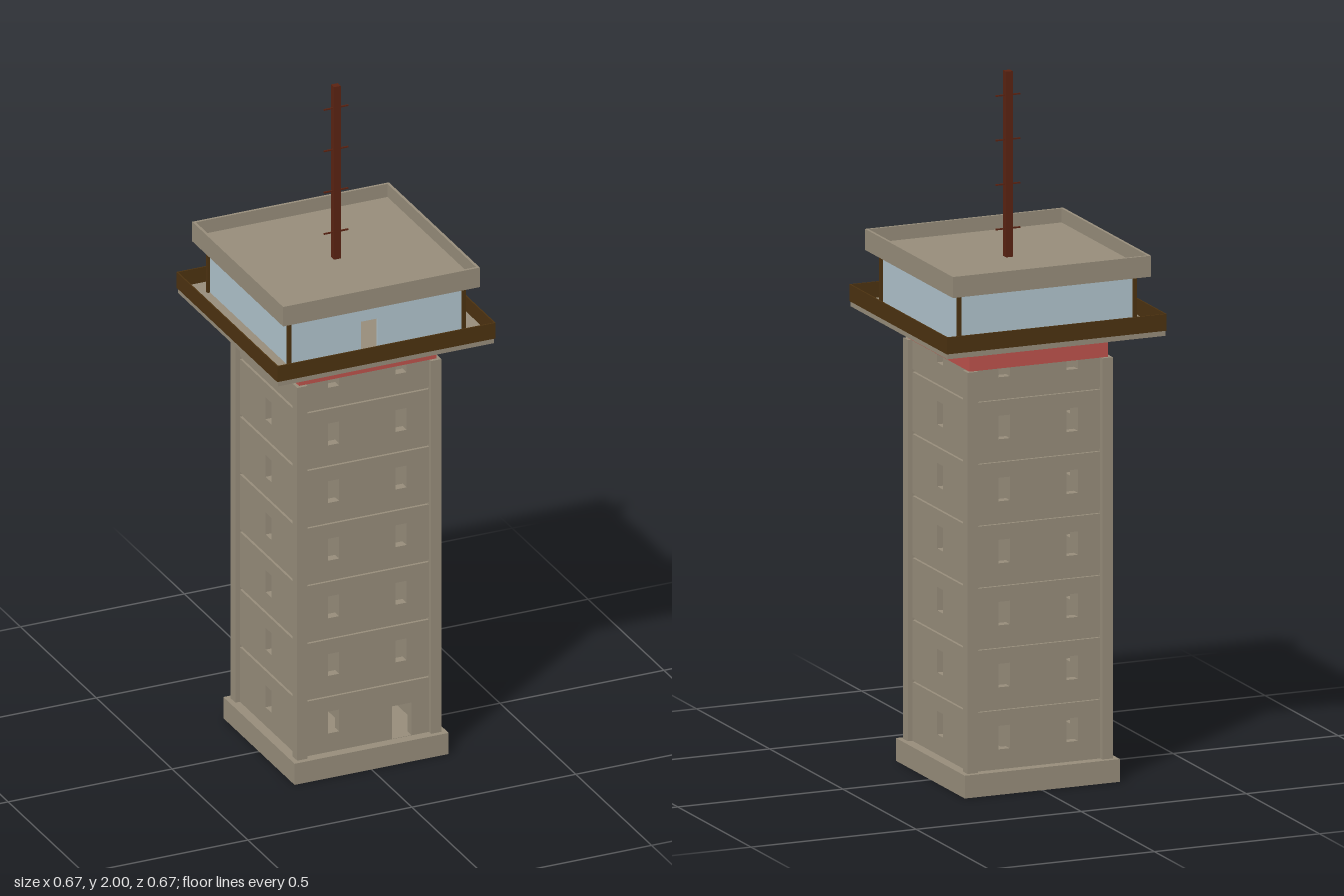
import * as THREE from 'three';

const mat = (name, color) => {
  const m = new THREE.MeshStandardMaterial({ color });
  m.name = name;
  return m;
};

export function createModel() {
  const root = new THREE.Group();
  root.name = 'controlTower';
  const concrete = mat('concrete', 0x968c7a);
  const glass = mat('paleGlass', 0xb0c3cc);
  const brown = mat('darkBrown', 0x4c3210);
  const red = mat('redBand', 0xbc524b);
  const rust = mat('rustMast', 0x5a2312);

  // Box given by its bounds
  const box = (name, m, x0, x1, y0, y1, z0, z1, parent = root) => {
    const mesh = new THREE.Mesh(new THREE.BoxGeometry(x1 - x0, y1 - y0, z1 - z0), m);
    mesh.position.set((x0 + x1) / 2, (y0 + y1) / 2, (z0 + z1) / 2);
    mesh.name = name;
    parent.add(mesh);
    return mesh;
  };
  const slab = (name, m, r, y0, y1) => box(name, m, -r, r, y0, y1, -r, r);

  // Upright plate with rectangular openings [x0, x1, y0, y1]
  const plate = (name, m, half, y0, y1, holes, z, depth, parent) => {
    const trace = (p, a, b, c, d) => p.moveTo(a, c).lineTo(b, c).lineTo(b, d).lineTo(a, d).closePath();
    const shape = trace(new THREE.Shape(), -half, half, y0, y1);
    for (const [a, b, c, d] of holes) {
      const lo = Math.max(c, y0 + 0.001), hi = Math.min(d, y1 - 0.001);
      if (hi > lo) shape.holes.push(trace(new THREE.Path(), a, b, lo, hi));
    }
    const mesh = new THREE.Mesh(new THREE.ExtrudeGeometry(shape, { depth, bevelEnabled: false }), m);
    mesh.position.z = z;
    mesh.name = name;
    parent.add(mesh);
  };

  // Square ring of four thin walls
  const ring = (name, m, r, t, y0, y1) => {
    const g = new THREE.Group();
    g.name = name;
    for (const s of [-1, 1]) {
      const a = s * r, b = s * (r - t);
      box(name + 'Long', m, -r, r, y0, y1, Math.min(a, b), Math.max(a, b), g);
      box(name + 'Short', m, Math.min(a, b), Math.max(a, b), y0, y1, -r + t, r - t, g);
    }
    root.add(g);
  };

  // Plinth and corner pillars
  const BASE = 0.065, TOP = 1.21, PITCH = 0.177;
  slab('plinth', concrete, 0.235, 0, BASE);
  for (const sx of [-1, 1]) for (const sz of [-1, 1]) {
    box('cornerPillar', concrete, sx * 0.204 - 0.016, sx * 0.204 + 0.016, BASE, TOP,
      sz * 0.204 - 0.016, sz * 0.204 + 0.016);
  }

  // Shaft walls: backing plate plus one raised panel per storey, leaving grooves
  const windowsAt = (xs, w) => {
    const list = [];
    for (let k = 0; k < 7; k++) {
      for (const x of xs) list.push([x - w / 2, x + w / 2, 0.122 + k * PITCH, 0.189 + k * PITCH]);
    }
    return list;
  };
  const wall = (name, angle, holes) => {
    const g = new THREE.Group();
    g.name = name;
    plate(name + 'Backing', concrete, 0.19, BASE, TOP, holes, 0.18, 0.018, g);
    for (let k = 0; k < 7; k++) {
      const y0 = k === 0 ? BASE : 0.06 + k * PITCH + 0.004;
      const y1 = k === 6 ? TOP : 0.06 + (k + 1) * PITCH - 0.004;
      const own = holes.filter((h) => h[2] < y1 && h[3] > y0);
      plate(name + 'Panel', concrete, 0.19, y0, y1, own, 0.198, 0.008, g);
    }
    g.rotation.y = angle;
    root.add(g);
  };
  const door = [0.075, 0.135, BASE, 0.166];
  wall('frontWall', 0, [door, ...windowsAt([-0.103, 0.103], 0.034).filter((h) => h[0] < 0 || h[2] > 0.2)]);
  wall('backWall', Math.PI, windowsAt([-0.103, 0.103], 0.034));
  wall('leftWall', Math.PI / 2, windowsAt([0], 0.038));
  wall('rightWall', -Math.PI / 2, windowsAt([0], 0.038));

  // Inner partition and stair flights
  box('partition', concrete, -0.01, 0.01, BASE, TOP, -0.18, 0.18);
  for (let k = 0; k < 7; k++) {
    for (let i = 0; i < 5; i++) {
      const y = 0.128 + k * PITCH + i * 0.016, x = -0.118 + i * 0.02;
      if (y < TOP) box('stairStep', concrete, x, x + 0.02, y - 0.01, y, -0.05, 0.05);
    }
  }

  // Red band, stepped corbel and gallery
  slab('redBand', red, 0.21, TOP, 1.252);
  for (let i = 0; i < 4; i++) {
    slab('corbelStep', concrete, 0.212 + i * 0.01, 1.252 + i * 0.00825, 1.252 + (i + 1) * 0.00825);
  }
  slab('galleryFloor', concrete, 0.33, 1.285, 1.302);
  ring('galleryParapet', brown, 0.333, 0.004, 1.3, 1.348);

  // Glazed cabin with doorway in front
  for (let i = 0; i < 4; i++) {
    const g = new THREE.Group();
    g.name = 'cabinGlazing';
    plate('cabinGlass', glass, 0.262, 1.302, 1.45, i ? [] : [[-0.045, 0.005, 1.3, 1.397]], 0.257, 0.006, g);
    g.rotation.y = i * Math.PI / 2;
    root.add(g);
  }
  for (const sx of [-1, 1]) for (const sz of [-1, 1]) {
    box('cabinPost', brown, sx * 0.266 - 0.005, sx * 0.266 + 0.005, 1.302, 1.45,
      sz * 0.266 - 0.005, sz * 0.266 + 0.005);
  }
  box('openDoor', brown, -0.047, -0.043, 1.303, 1.396, 0.208, 0.257);
  for (let i = 0; i < 4; i++) {
    const y = 1.347 + i * 0.013;
    box('ladderRung', brown, -0.015, 0.005, y, y + 0.007, 0.1, 0.107);
  }

  // Roof with raised rim
  slab('roof', concrete, 0.292, 1.45, 1.47);
  ring('roofRim', concrete, 0.3, 0.008, 1.45, 1.51);

  // Mast and crossbars
  box('mast', rust, -0.01, 0.01, 1.47, 2, -0.01, 0.01);
  for (const y of [1.55, 1.677, 1.804, 1.931]) {
    box('mastCrossbar', rust, -0.037, 0.037, y - 0.002, y + 0.002, -0.002, 0.002);
  }
  return root;
}
